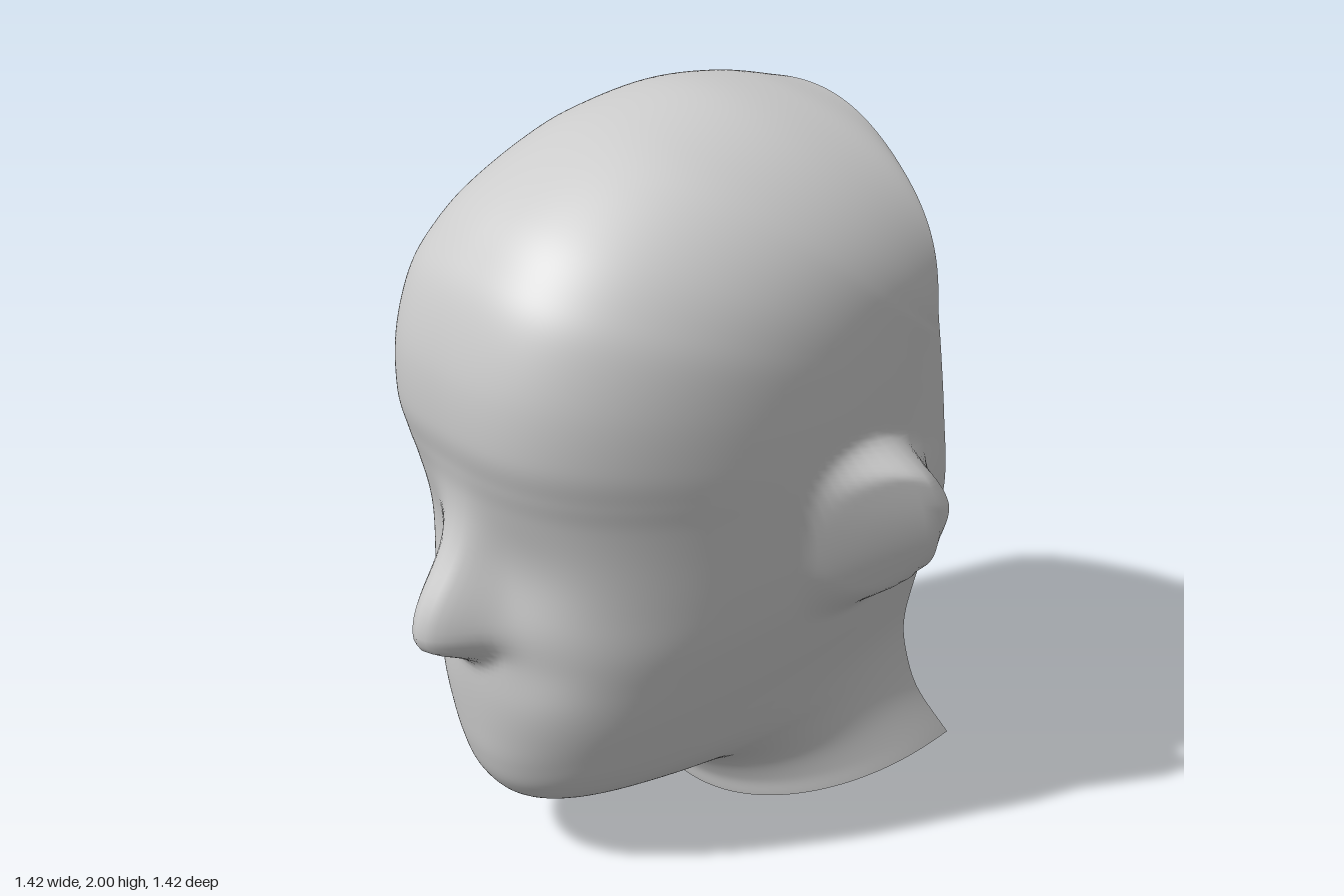
import * as THREE from 'three';

const { smoothstep, lerp, clamp } = THREE.MathUtils;

// Smooth interpolation through keys [[position, value...], ...]
function sample(keys, t, col = 1) {
  let i = 0;
  while (i < keys.length - 2 && t > keys[i + 1][0]) i++;
  const slope = (j) => {
    const a = keys[Math.max(j - 1, 0)], b = keys[Math.min(j + 1, keys.length - 1)];
    return (b[col] - a[col]) / (b[0] - a[0]);
  };
  const p = keys[i], q = keys[i + 1], h = q[0] - p[0];
  const u = clamp((t - p[0]) / h, 0, 1), v = 1 - u;
  return p[col] * (1 + 2 * u) * v * v + q[col] * u * u * (3 - 2 * u)
    + h * (slope(i) * u * v * v - slope(i + 1) * u * u * v);
}

// Ribs from the neck, under the chin, up the face and over the crown:
// midline height, midline depth, height where the rib meets the open back edge
const ribs = [
  [0, -0.15, 0.148], [0.06, -0.13, 0.2], [0.13, -0.075, 0.27], [0.17, 0.02, 0.34],
  [0.178, 0.15, 0.42], [0.182, 0.32, 0.48], [0.205, 0.445, 0.54], [0.265, 0.505, 0.59],
  [0.35, 0.535, 0.64], [0.45, 0.55, 0.7], [0.58, 0.562, 0.76], [0.7, 0.565, 0.82],
  [0.85, 0.555, 0.9], [1.0, 0.56, 0.99], [1.12, 0.572, 1.06], [1.2, 0.588, 1.12],
  [1.3, 0.608, 1.18], [1.45, 0.602, 1.25], [1.6, 0.56, 1.3], [1.7, 0.5, 1.34],
  [1.8, 0.4, 1.38], [1.9, 0.23, 1.42], [1.965, 0.06, 1.45], [2.0, -0.15, 1.48],
  [1.985, -0.35, 1.52], [1.94, -0.54, 1.57],
].map((r, i) => [i, ...r]);

// Open back edge: height, half width, depth
const backEdge = [
  [0.148, 0.484, -0.71], [0.3, 0.436, -0.63], [0.42, 0.424, -0.59], [0.54, 0.434, -0.56],
  [0.7, 0.478, -0.545], [0.85, 0.518, -0.555], [1.0, 0.535, -0.57], [1.2, 0.54, -0.545],
  [1.4, 0.543, -0.512], [1.57, 0.54, -0.484],
];

// By rib number: squareness, how long a rib stays level, how late it moves in depth
const squareness = [[0, 2.25], [4, 2.1], [6, 2.12], [8, 2.25], [10, 2.5], [13, 2.75], [16, 3], [18, 2.9], [21, 2.3], [23, 2.05], [25, 2]];
const levelness = [[0, 1.65], [4, 1.25], [8, 1.1], [12, 1], [25, 1]];
const depthDelay = [[0, 1], [21, 1], [22, 1], [24, 2], [25, 5]];

const bump = (x, y, cx, cy, rx, ry) => Math.exp(-(((x - cx) / rx) ** 2) - ((y - cy) / ry) ** 2);

// Nose, eye sockets and cheek hollows, pushed along z
function faceRelief(x, y) {
  const ax = Math.abs(x), dy = y - 0.78 - 3 * Math.min(ax, 0.12) ** 2;
  const ridge = dy > 0 ? Math.exp(-((dy / 0.2) ** 2)) : Math.exp(-((dy / 0.1) ** 4));
  const width = lerp(0.107, 0.078, smoothstep(y, 0.75, 1.0));
  return 0.152 * ridge * Math.exp(-((ax / width) ** 2.3))
    - 0.025 * bump(ax, y, 0.19, 0.95, 0.14, 0.15)
    - 0.02 * bump(ax, y, 0.22, 0.68, 0.12, 0.1);
}

// Ear: ramps outward towards the back, then drops to the skull
function earRelief(y, z) {
  const r = Math.hypot((z + 0.27) / (z > -0.27 ? 0.28 : 0.21), (y - 0.97) / 0.256);
  const ramp = clamp((-0.06 - z) / 0.31, 0, 1.1) ** 1.15;
  const rim = lerp(0.56, 0.7, smoothstep(y, 0.95, 1.15));
  const crest = 0.15 * (1 - 0.22 * ((y - 1.07) / 0.25) ** 2);
  return crest * ramp * (1 - smoothstep(r, rim, 1.05));
}

function createHeadShell() {
  const rows = 175, cols = 144, positions = [], indices = [];
  for (let i = 0; i <= rows; i++) {
    const t = (i / rows) * (ribs.length - 1);
    const my = sample(ribs, t, 1), mz = sample(ribs, t, 2), ey = sample(ribs, t, 3);
    const ex = sample(backEdge, ey, 1), ez = sample(backEdge, ey, 2);
    const power = 2 / sample(squareness, t), level = sample(levelness, t);
    const delay = sample(depthDelay, t);
    // Neck and temples are wider than the back edge, fading out at the crown
    const swell = (0.018 + 0.022 * smoothstep(t, 8, 14)) * (1 - smoothstep(t, 21, 25));
    for (let j = 0; j <= cols; j++) {
      const a = (j / cols - 0.5) * Math.PI, side = Math.sign(a);
      const c = j % cols === 0 ? 0 : Math.cos(a) ** power;
      const s = Math.abs(Math.sin(a)) ** power;
      let x = side * s * (ex + swell * 4 * c * (1 - c));
      const y = ey + (my - ey) * c ** level;
      let z = ez + (mz - ez) * c ** delay;
      if (Math.abs(x) > 0.3) x += side * earRelief(y, z);
      z += smoothstep(z, 0.1, 0.4) * faceRelief(x, y);
      positions.push(x, y, z);
      if (i < rows && j < cols) {
        const p = i * (cols + 1) + j, q = p + cols + 1;
        indices.push(p, p + 1, q, p + 1, q + 1, q);
      }
    }
  }
  const geometry = new THREE.BufferGeometry();
  geometry.setAttribute('position', new THREE.Float32BufferAttribute(positions, 3));
  geometry.setIndex(indices);
  geometry.computeVertexNormals();
  return geometry;
}

export function createModel() {
  const group = new THREE.Group();
  group.name = 'head';
  const material = new THREE.MeshStandardMaterial({ color: 0xcccccc, side: THREE.DoubleSide });
  const shell = new THREE.Mesh(createHeadShell(), material);
  shell.name = 'headShell';
  group.add(shell);
  return group;
}
